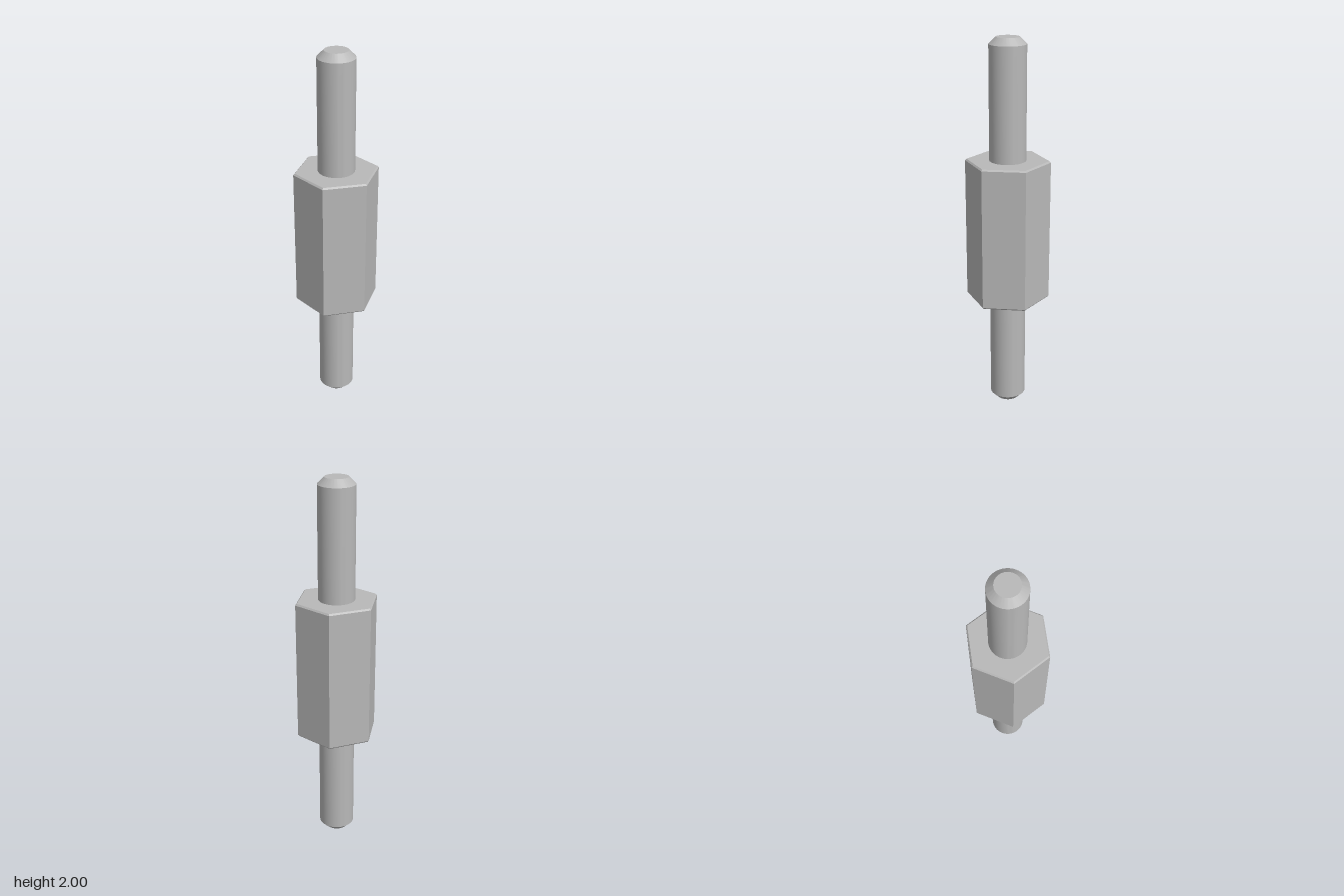
import * as THREE from 'three';
import { toCreasedNormals } from 'three/addons/utils/BufferGeometryUtils.js';

// Revolve a [radius, height] profile with crisp edges; six sides give the hexagon.
function turned(profile, sides, phiStart = 0) {
  const points = profile.map(([r, y]) => new THREE.Vector2(r, y));
  return toCreasedNormals(new THREE.LatheGeometry(points, sides, phiStart), 0.5);
}

export function createModel() {
  const model = new THREE.Group();
  model.name = 'hexStandoff';

  const steel = new THREE.MeshStandardMaterial({ color: 0xb8b8b8 });
  steel.name = 'steel grey';

  // Hexagonal body with corners on the x axis and bevelled ends
  const bottom = 0.62, top = 1.38, bevel = 0.008;
  const body = new THREE.Mesh(turned([
    [0, bottom], [0.213, bottom], [0.221, bottom + bevel],
    [0.221, top - bevel], [0.213, top], [0, top],
  ], 6, Math.PI / 2), steel);
  body.name = 'hexBody';
  model.add(body);

  // Chamfered round studs, mirrored about the middle of the body
  const studGeometry = turned([
    [0.095, 0.36], [0.095, 0.965], [0.06, 1], [0, 1],
  ], 64);
  for (const [name, turn] of [['topStud', 0], ['bottomStud', Math.PI]]) {
    const stud = new THREE.Mesh(studGeometry, steel);
    stud.name = name;
    stud.position.y = 1;
    stud.rotation.x = turn;
    model.add(stud);
  }

  return model;
}
